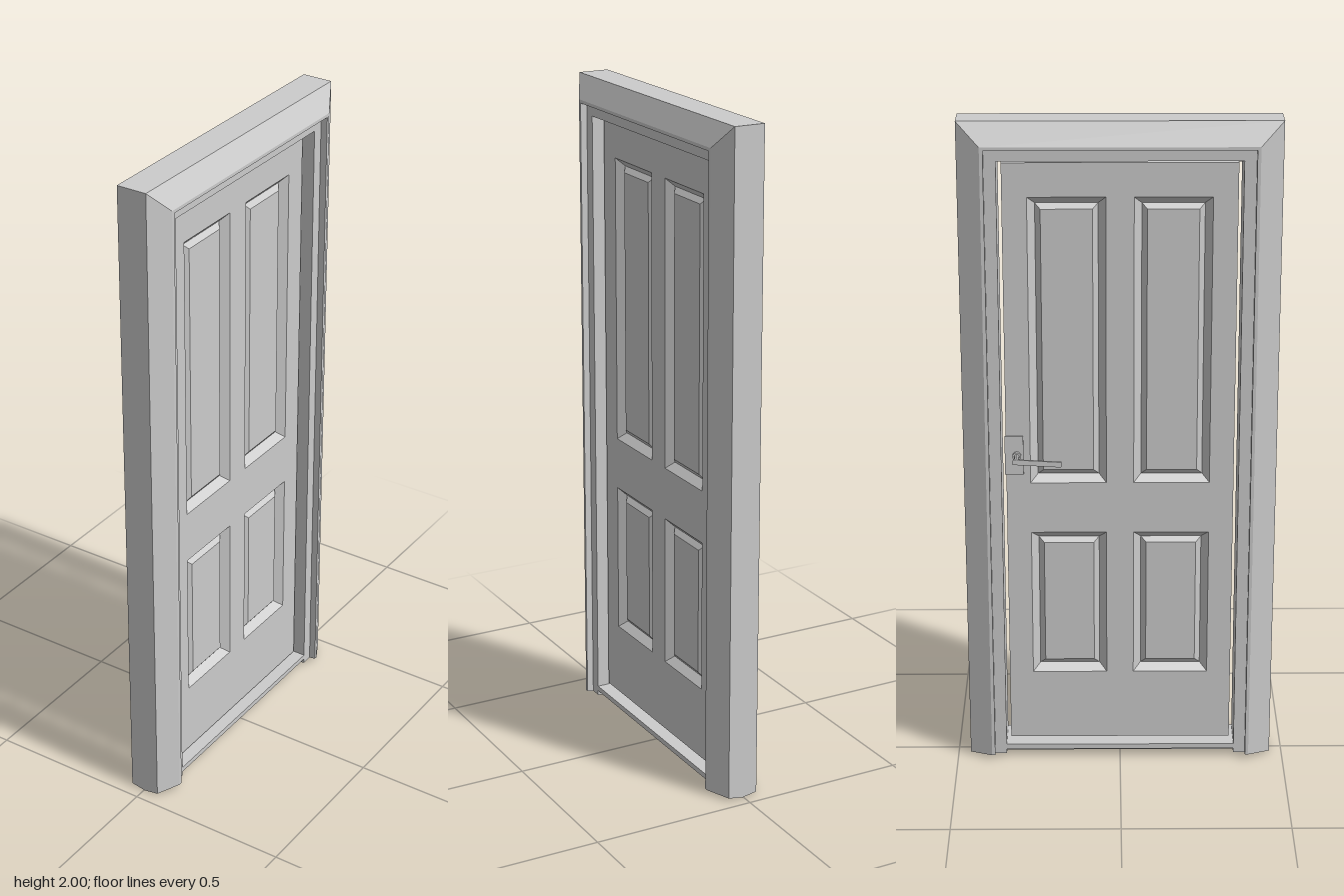
import * as THREE from 'three';

const mat = new THREE.MeshStandardMaterial({ color: 0xcccccc, flatShading: true });

function named(name, geometry, x = 0, y = 0, z = 0) {
  const mesh = new THREE.Mesh(geometry, mat);
  mesh.name = name;
  mesh.position.set(x, y, z);
  return mesh;
}

const box = (name, w, h, d, x, y, z) => named(name, new THREE.BoxGeometry(w, h, d), x, y, z);

function fromTriangles(positions) {
  const g = new THREE.BufferGeometry();
  g.setAttribute('position', new THREE.Float32BufferAttribute(positions, 3));
  g.computeVertexNormals();
  return g;
}

// Adds a four-cornered face, corners counter-clockwise from its front
function quad(out, a, b, c, d) {
  out.push(...a, ...b, ...c, ...a, ...c, ...d);
}

const INNER_X = 0.35, INNER_TOP = 1.888, HALF = 0.03;

// Moulded casing: one section swept up a jamb, across the head and down, with mitred corners
function casing() {
  const half = [[0.112, 0], [0.112, 0.0465], [0.045, 0.0825], [0.035, 0.0825], [0.035, 0.062], [0, 0.062]];
  const section = [...half, [0, 0], ...half.slice(1).reverse().map(([u, d]) => [u, -d])];
  const foot = (d) => Math.abs(d) * 0.17;
  const stations = [
    ([u, d]) => [INNER_X + u, foot(d), d],
    ([u, d]) => [INNER_X + u, INNER_TOP + u, d],
    ([u, d]) => [-INNER_X - u, INNER_TOP + u, d],
    ([u, d]) => [-INNER_X - u, foot(d), d],
  ].map((place) => section.map(place));
  const out = [];
  const n = section.length;
  for (let s = 0; s < 3; s++) {
    for (let i = 0; i < n; i++) {
      const j = (i + 1) % n;
      quad(out, stations[s][i], stations[s + 1][i], stations[s + 1][j], stations[s][j]);
    }
  }
  // Closed feet
  const contour = section.map(([u, d]) => new THREE.Vector2(u, d));
  for (const [a, b, c] of THREE.ShapeUtils.triangulateShape(contour, [])) {
    out.push(...stations[0][a], ...stations[0][b], ...stations[0][c]);
    out.push(...stations[3][a], ...stations[3][c], ...stations[3][b]);
  }
  return named('doorCasing', fromTriangles(out));
}

const rect = (x, y, w, h, z = 0) => [
  [x - w / 2, y - h / 2, z], [x + w / 2, y - h / 2, z],
  [x + w / 2, y + h / 2, z], [x - w / 2, y + h / 2, z],
];

// Sunken bevel followed by a raised field
function panelGeometry(w, h) {
  const steps = [[0, HALF], [0.022, 0.008], [0.038, 0.02]];
  const loops = steps.map(([inset, z]) => rect(0, 0, w - 2 * inset, h - 2 * inset, z));
  const out = [];
  for (let k = 0; k < loops.length - 1; k++) {
    for (let i = 0; i < 4; i++) {
      const j = (i + 1) % 4;
      quad(out, loops[k][i], loops[k][j], loops[k + 1][j], loops[k + 1][i]);
    }
  }
  quad(out, ...loops.at(-1));
  return fromTriangles(out);
}

function doorLeaf() {
  const leaf = new THREE.Group();
  leaf.name = 'doorLeaf';
  const toPoints = (r) => r.map(([x, y]) => new THREE.Vector2(x, y));
  const bottom = 0.052, top = 1.876;
  const shape = new THREE.Shape(toPoints(rect(0, (bottom + top) / 2, 0.674, top - bottom)));
  const panels = [];
  for (const x of [-0.153, 0.153]) {
    panels.push([x, 1.338, 0.225, 0.875], [x, 0.508, 0.225, 0.465]);
  }
  for (const p of panels) shape.holes.push(new THREE.Path(toPoints(rect(...p)).reverse()));
  const slab = new THREE.ExtrudeGeometry(shape, { depth: HALF * 2, bevelEnabled: false });
  leaf.add(named('stilesAndRails', slab, 0, 0, -HALF));
  for (const [x, y, w, h] of panels) {
    for (const turn of [0, Math.PI]) {
      const panel = named('raisedPanel', panelGeometry(w, h), x, y, 0);
      panel.rotation.y = turn;
      leaf.add(panel);
    }
  }
  return leaf;
}

// Lever handle on one face only
function handle() {
  const g = new THREE.Group();
  g.name = 'leverHandle';
  g.add(box('backPlate', 0.055, 0.12, 0.006, 0.313, 0.99, -HALF - 0.003));
  const collar = named('collar', new THREE.CylinderGeometry(0.013, 0.013, 0.012, 12), 0.305, 0.99, -0.04);
  const stem = named('stem', new THREE.CylinderGeometry(0.008, 0.008, 0.055, 10), 0.305, 0.99, -0.061);
  collar.rotation.x = stem.rotation.x = Math.PI / 2;
  const lever = box('lever', 0.143, 0.016, 0.006, 0.244, 0.986, -0.088);
  lever.rotation.z = 0.06;
  g.add(collar, stem, lever);
  return g;
}

export function createModel() {
  const door = new THREE.Group();
  door.name = 'door';
  door.add(casing(), doorLeaf(), handle());
  // Strip closing the gap above the leaf
  door.add(box('headStrip', 0.7, 0.016, 0.02, 0, 1.882, 0));
  // Stepped threshold
  door.add(box('thresholdTread', 0.7, 0.016, 0.124, 0, 0.033, 0));
  door.add(box('thresholdCore', 0.7, 0.014, 0.085, 0, 0.019, 0));

  // The leaf faces sideways, along x
  door.rotation.y = Math.PI / 2;
  door.position.x = 0.003;
  const model = new THREE.Group();
  model.name = 'panelledDoor';
  model.add(door);
  return model;
}
